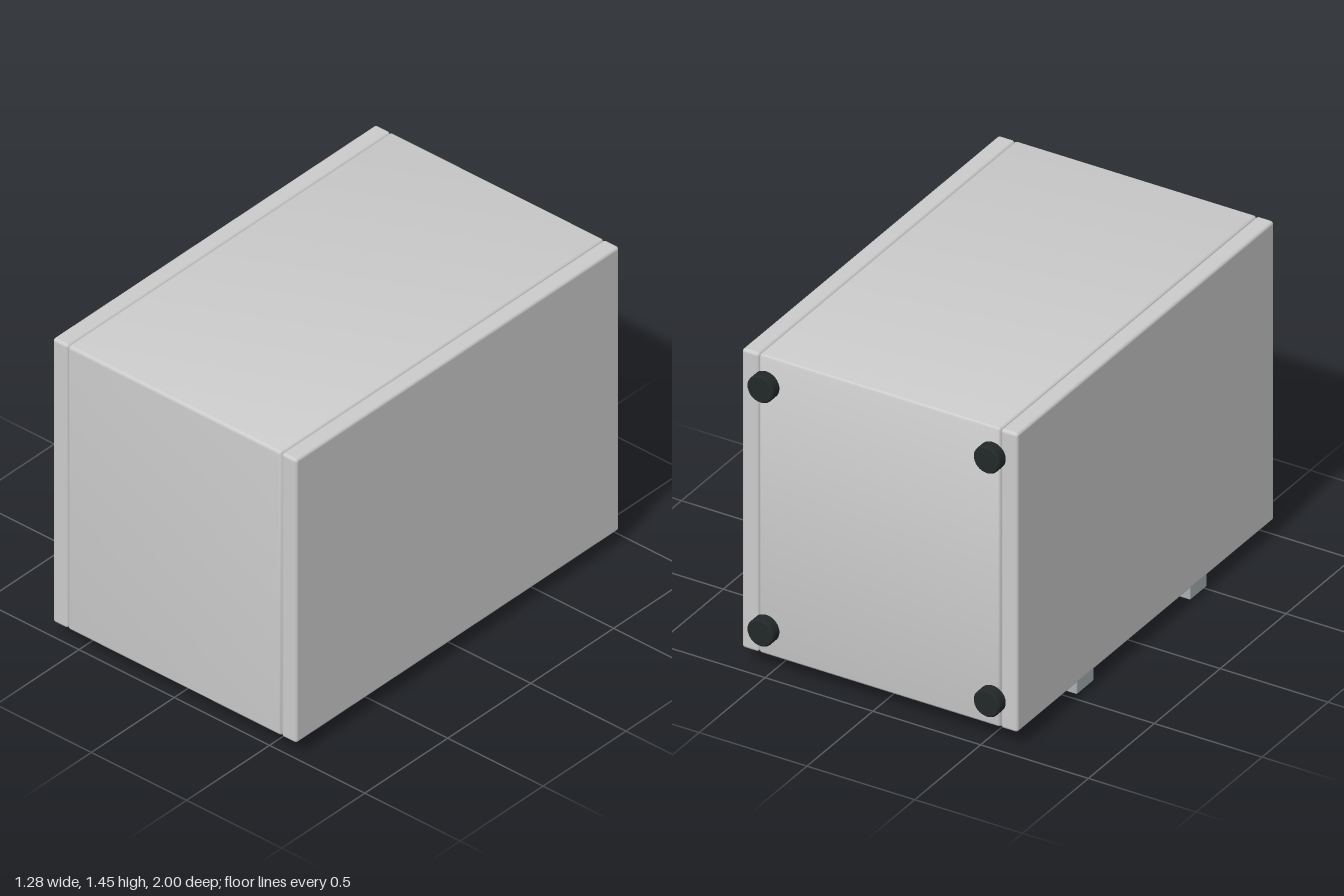
import * as THREE from 'three';
import { RoundedBoxGeometry } from 'three/addons/geometries/RoundedBoxGeometry.js';
import { toCreasedNormals } from 'three/addons/utils/BufferGeometryUtils.js';

const mat = (color) => new THREE.MeshStandardMaterial({ color });
const M = {
  shell: mat(0xcacecb),
  metal: mat(0xa9b1b3),
  shelf: mat(0xa3adb1),
  trim: mat(0x7f888b),
  teal: mat(0x1f4a4a),
  dark: mat(0x142222),
  rubber: mat(0x222829),
};

export function createModel() {
  const model = new THREE.Group();
  const add = (name, geometry, material, x = 0, y = 0, z = 0) => {
    const mesh = new THREE.Mesh(geometry, material);
    mesh.name = name;
    mesh.position.set(x, y, z);
    model.add(mesh);
    return mesh;
  };
  // Box given by its limits on each axis
  const box = (name, [x0, x1], [y0, y1], [z0, z1], material, r = 0) => {
    const size = [x1 - x0, y1 - y0, z1 - z0];
    const g = r ? new RoundedBoxGeometry(...size, 3, r) : new THREE.BoxGeometry(...size);
    return add(name, g, material, (x0 + x1) / 2, (y0 + y1) / 2, (z0 + z1) / 2);
  };

  // Cabinet body: C-shaped section (z across, y up), open underneath
  const z0 = -0.95, z1 = 1, y0 = 0.07, y1 = 1.445, r = 0.014;
  const openBack = -0.68, openFront = 0.72, ceiling = 1.33;
  const s = new THREE.Shape();
  s.moveTo(z0 + r, y0);
  s.lineTo(openBack, y0);
  s.lineTo(openBack, ceiling);
  s.lineTo(openFront, ceiling);
  s.lineTo(openFront, y0);
  s.lineTo(z1 - r, y0);
  s.absarc(z1 - r, y0 + r, r, -Math.PI / 2, 0);
  s.absarc(z1 - r, y1 - r, r, 0, Math.PI / 2);
  s.absarc(z0 + r, y1 - r, r, Math.PI / 2, Math.PI);
  s.absarc(z0 + r, y0 + r, r, Math.PI, Math.PI * 1.5);
  const half = 0.559, bevel = 0.01;
  const body = new THREE.ExtrudeGeometry(s, {
    depth: 2 * (half - bevel), bevelThickness: bevel, bevelSize: bevel,
    bevelOffset: -bevel, bevelSegments: 3, curveSegments: 4,
  });
  body.translate(0, 0, -(half - bevel)).rotateY(-Math.PI / 2);
  add('cabinetBody', toCreasedNormals(body, 0.6), M.shell);

  // Side panels, shelf rails and their mounting strips
  for (const side of [-1, 1]) {
    const name = side > 0 ? 'left' : 'right';
    const span = (a, b) => (side > 0 ? [a, b] : [-b, -a]);
    box(name + 'SidePanel', span(0.56, 0.64), [y0, y1], [z0, z1], M.shell, 0.014);
    box(name + 'ShelfRail', span(0.545, 0.565), [0.19, 0.21], [-0.6, 0.64], M.shell, 0.005);
  }

  // Shelves with a front trim bar
  for (const z of [-0.475, 0.1]) {
    box('shelf', [-0.55, 0.55], [0.18, ceiling], [z - 0.008, z + 0.008], M.shelf);
    box('shelfTrim', [-0.55, 0.55], [0.165, 0.185], [z - 0.012, z + 0.012], M.trim);
  }

  // Vent grille with slats
  box('ventFrame', [-0.55, 0.55], [0.056, 0.075], [-0.915, -0.7], M.teal, 0.006);
  box('ventRecess', [-0.48, 0.48], [0.054, 0.06], [-0.885, -0.73], M.dark);
  for (let i = 0; i < 5; i++) {
    const z = -0.87 + i * 0.031;
    box('ventSlat', [-0.47, 0.47], [0.049, 0.057], [z - 0.006, z + 0.006], M.teal);
  }

  // Control panel windows
  box('displayFrame', [0.02, 0.41], [0.06, 0.075], [0.79, 0.9], M.teal, 0.005);
  box('displayWindow', [0.045, 0.385], [0.057, 0.065], [0.808, 0.882], M.dark);
  box('controlStrip', [-0.445, -0.115], [0.063, 0.075], [0.855, 0.915], M.teal, 0.004);

  // Hinge blocks along the right side panel
  for (const z of [0.455, -0.405])
    box('hingeBlock', [-0.622, -0.572], [0, 0.08], [z - 0.065, z + 0.065], M.metal, 0.006);

  // Round rubber feet
  const footProfile = [[0, 0], [0.061, 0], [0.061, 0.043], [0.055, 0.05], [0, 0.05]]
    .map(([a, b]) => new THREE.Vector2(a, b));
  const foot = toCreasedNormals(new THREE.LatheGeometry(footProfile, 32), 0.5);
  foot.rotateX(-Math.PI / 2);
  for (const x of [-0.525, 0.525])
    for (const y of [0.195, 1.315]) add('foot', foot, M.rubber, x, y, z0);

  return model;
}
